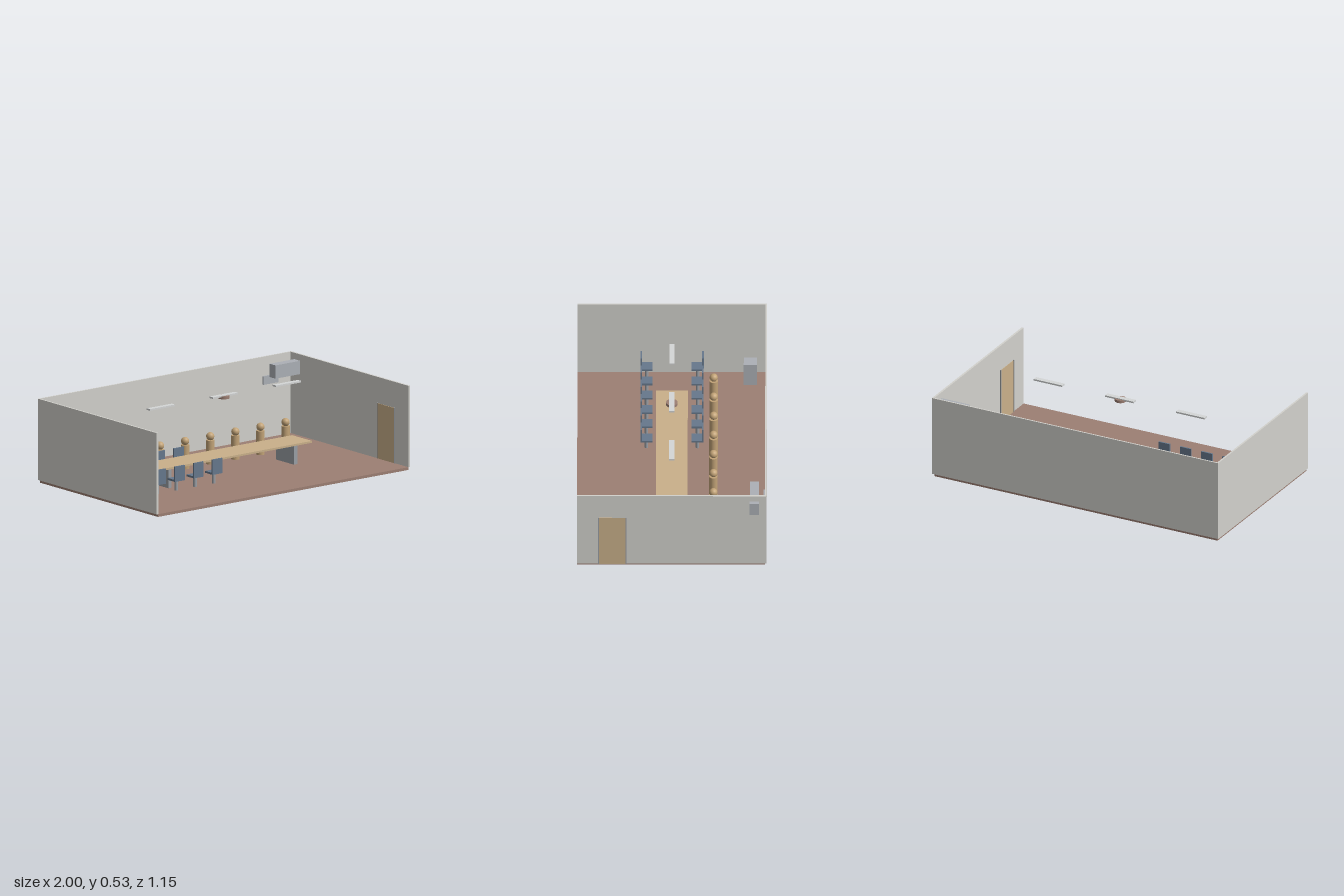
import * as THREE from 'three';

const paint = (name, color) => {
  const m = new THREE.MeshStandardMaterial({ color });
  m.name = name;
  return m;
};

export function createModel() {
  const wall = paint('wall grey', 0xd2d1cc);
  const floorMat = paint('floor brown', 0x9c7f73);
  const wood = paint('light wood', 0xcab08a);
  const tan = paint('figure tan', 0xc2a377);
  const slate = paint('chair slate', 0x66788c);
  const metal = paint('metal grey', 0x9a9fa5);
  const casing = paint('casing grey', 0xacb0b6);
  const lamp = paint('lamp white', 0xd4d6d6);

  const room = new THREE.Group();
  room.name = 'meetingRoom';

  // Box from its minimum and maximum corners
  const box = (name, mat, x0, x1, y0, y1, z0, z1, parent = room) => {
    const m = new THREE.Mesh(new THREE.BoxGeometry(x1 - x0, y1 - y0, z1 - z0), mat);
    m.position.set((x0 + x1) / 2, (y0 + y1) / 2, (z0 + z1) / 2);
    m.name = name;
    parent.add(m);
    return m;
  };
  // Upright cylinder between two heights
  const post = (name, mat, r, x, y0, y1, z, parent = room) => {
    const m = new THREE.Mesh(new THREE.CylinderGeometry(r, r, y1 - y0, 24), mat);
    m.position.set(x, (y0 + y1) / 2, z);
    m.name = name;
    parent.add(m);
    return m;
  };

  const F = 0.017; // floor height
  const H = 0.525; // wall height

  // Shell, open at the front and top
  box('floor', floorMat, -0.99, 0.962, 0, F, -0.567, 0.575);
  box('backWall', wall, -1, 0.975, F, H, -0.577, -0.567);
  box('rightWall', wall, -1, -0.988, F, H, -0.567, 0.575);
  box('leftWall', wall, 0.962, 0.975, F, H, -0.567, 0.575);

  // Door in the side wall with two jambs
  box('door', wood, 0.959, 0.978, F, 0.362, 0.28, 0.442);
  for (const z of [0.277, 0.443]) box('doorJamb', metal, 0.957, 0.979, F, 0.364, z - 0.003, z + 0.003);

  // Long table on two slab legs
  box('tableTop', wood, -0.62, 0.595, 0.135, 0.147, -0.096, 0.096);
  for (const x of [-0.505, 0.474]) box('tableLeg', metal, x - 0.013, x + 0.013, F, 0.135, -0.088, 0.088);

  // Two rows of chairs facing the table
  for (const side of [1, -1]) {
    for (let i = 0; i < 6; i++) {
      const chair = new THREE.Group();
      chair.name = 'chair';
      box('chairSeat', slate, -0.038, 0.038, 0.08, 0.092, -0.036, 0.036, chair);
      box('chairBack', slate, -0.038, 0.038, 0.092, 0.175, 0.027, 0.037, chair);
      post('chairPost', metal, 0.011, 0, F, 0.08, 0, chair);
      chair.position.set(-0.95 + i * 0.1465, 0, side * 0.155);
      if (side < 0) chair.rotation.y = Math.PI;
      room.add(chair);
    }
  }

  // Row of standing figures behind the table
  for (let i = 0; i < 8; i++) {
    const figure = new THREE.Group();
    figure.name = 'figure';
    post('figureBody', tan, 0.026, 0, F, 0.165, 0, figure);
    const head = new THREE.Mesh(new THREE.SphereGeometry(0.025, 24, 16), tan);
    head.name = 'figureHead';
    head.position.y = 0.188;
    figure.add(head);
    figure.position.set(-0.7 + i * 0.1957, 0, -0.253);
    room.add(figure);
  }

  // Cabinet in the back corner
  box('cabinet', casing, -0.936, -0.858, F, 0.165, -0.515, -0.435);

  // Wall unit passing through the side wall, and a panel on the back wall
  box('airUnit', casing, 0.77, 1, 0.402, 0.485, -0.531, -0.475);
  box('wallPanel', casing, 0.742, 0.858, 0.352, 0.405, -0.567, -0.557);

  // Hanging strip lights and a round ceiling fitting
  for (const x of [-0.505, -0.015, 0.477]) box('stripLight', lamp, x - 0.098, x + 0.098, 0.5, 0.51, -0.016, 0.016);
  post('ceilingDisc', floorMat, 0.035, -0.015, 0.488, 0.505, 0);

  return room;
}
